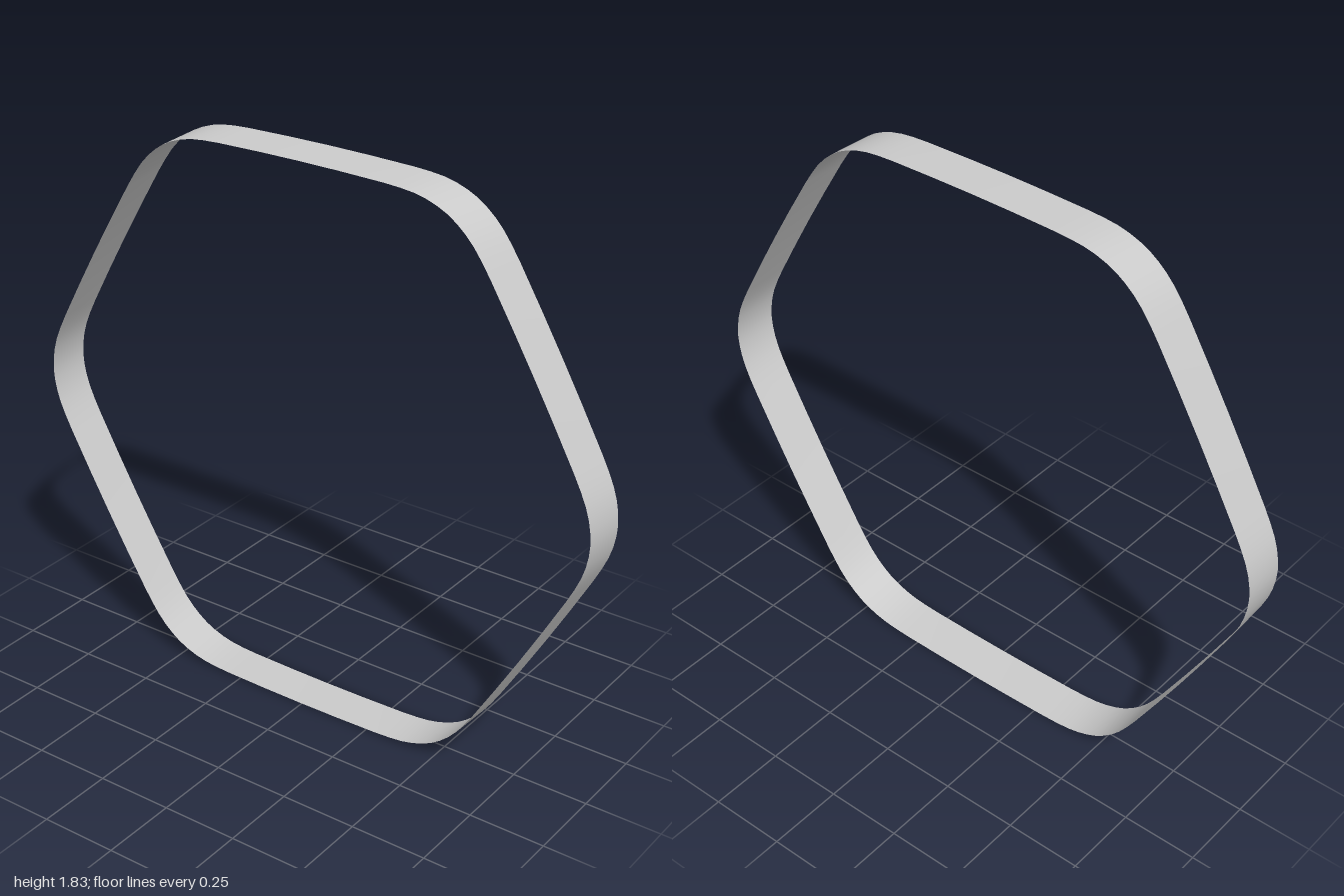
import * as THREE from 'three';

const APOTHEM = 0.916;     // centre to flat side
const HALF_DEPTH = 0.075;
const FRONT_SCALE = 0.995; // the band tapers slightly towards the front

// Outline of one side from its middle to the corner: [distance along side, distance out]
const HALF_SIDE = [
  [0, APOTHEM], [0.14, 0.915], [0.29, 0.912], [0.345, 0.909], [0.39, 0.904],
  [0.43, 0.895], [0.467, 0.882], [0.5, 0.866],
];

// Six rotated copies of the mirrored side make the rounded hexagon
function hexagonOutline() {
  const mirrored = HALF_SIDE.slice(1, -1).reverse().map(([t, n]) => [-t, n]);
  const side = [...mirrored, ...HALF_SIDE];
  const points = [];
  for (let k = 0; k < 6; k++) {
    const a = Math.PI / 2 - k * Math.PI / 3;
    for (const [t, n] of side) {
      points.push(new THREE.Vector2(
        n * Math.cos(a) + t * Math.sin(a),
        n * Math.sin(a) - t * Math.cos(a)));
    }
  }
  return points;
}

// Open band: one loop at the back, one at the front, joined by quads
function bandGeometry(outline) {
  const positions = [], index = [];
  const count = outline.length;
  outline.forEach((p, i) => {
    positions.push(p.x, p.y, -HALF_DEPTH);
    positions.push(p.x * FRONT_SCALE, p.y * FRONT_SCALE, HALF_DEPTH);
    const a = 2 * i, b = 2 * ((i + 1) % count);
    index.push(a, a + 1, b, b, a + 1, b + 1);
  });
  const geometry = new THREE.BufferGeometry();
  geometry.setAttribute('position', new THREE.Float32BufferAttribute(positions, 3));
  geometry.setIndex(index);
  geometry.computeVertexNormals();
  return geometry;
}

export function createModel() {
  const group = new THREE.Group();
  const material = new THREE.MeshStandardMaterial({ color: 0xcccccc, side: THREE.DoubleSide });
  const band = new THREE.Mesh(bandGeometry(hexagonOutline()), material);
  band.name = 'hexagonalBand';
  band.position.y = APOTHEM;
  group.add(band);
  return group;
}
